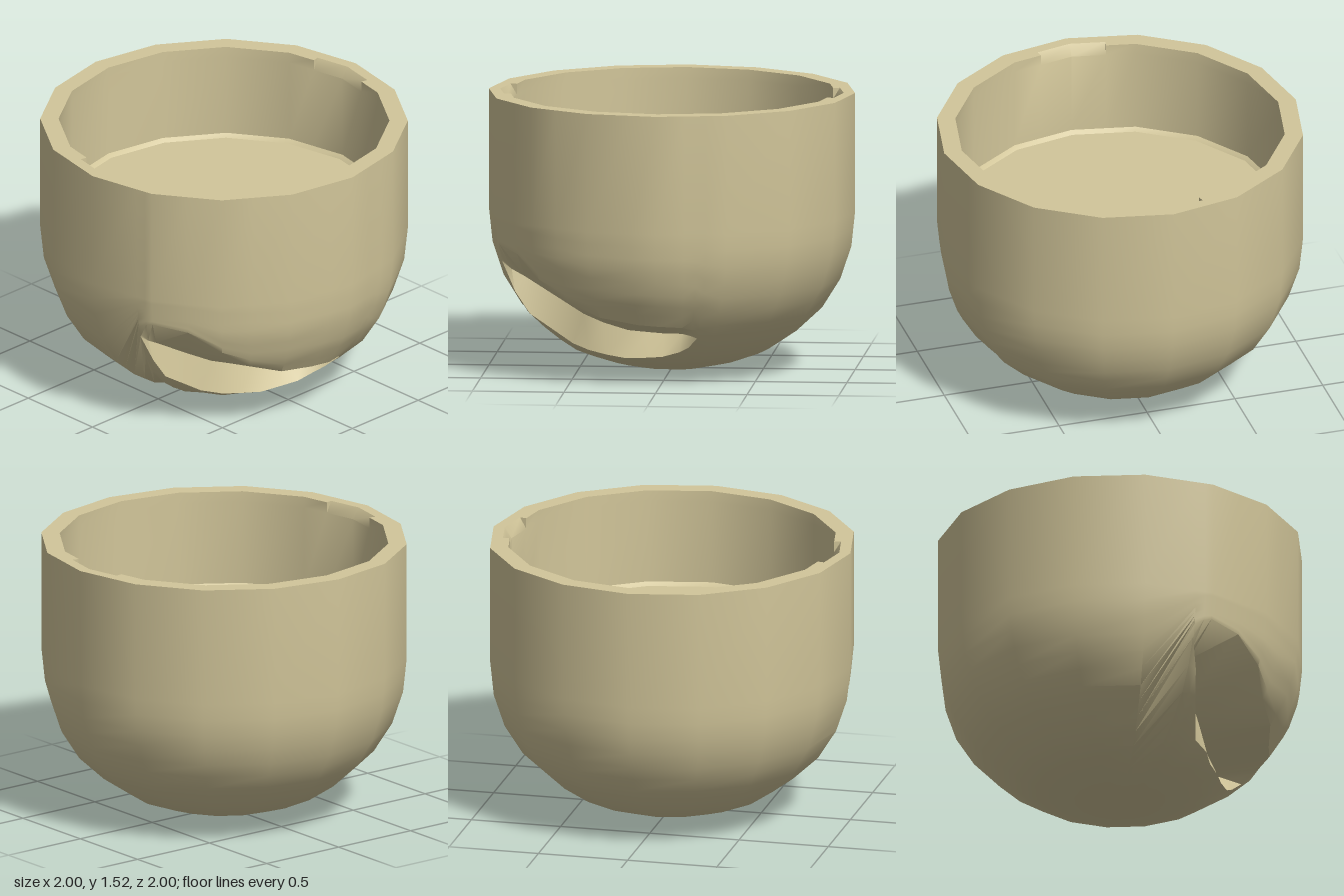
import * as THREE from 'three';
import { toCreasedNormals } from 'three/addons/utils/BufferGeometryUtils.js';

const RAD = Math.PI / 180, STEP = 22.5, TOP = 1.52;
const material = new THREE.MeshStandardMaterial({ color: 0xd2c69a });

// Point on a 16-sided ring; azimuth in degrees, 0 = front, 90 = +x
function ringPoint(az, r, y) {
  const local = ((az % STEP) + STEP) % STEP - STEP / 2;
  const k = r * Math.cos(STEP / 2 * RAD) / Math.cos(local * RAD);
  return new THREE.Vector3(k * Math.sin(az * RAD), y, k * Math.cos(az * RAD));
}

// Closed surface through columns of points that all have the same row count
function loft(name, columns) {
  const pos = [];
  const tri = (a, b, c) => {
    const area = b.clone().sub(a).cross(c.clone().sub(a)).length();
    if (area > 1e-7) for (const p of [a, b, c]) pos.push(p.x, p.y, p.z);
  };
  columns.forEach((col, i) => {
    const next = columns[(i + 1) % columns.length];
    for (let r = 0; r < col.length - 1; r++) {
      tri(col[r], next[r], next[r + 1]);
      tri(col[r], next[r + 1], col[r + 1]);
    }
  });
  const geo = new THREE.BufferGeometry();
  geo.setAttribute('position', new THREE.Float32BufferAttribute(pos, 3));
  const mesh = new THREE.Mesh(toCreasedNormals(geo, 38 * RAD), material);
  mesh.name = name;
  return mesh;
}

// Rounded underside profile: [radius, y] from the bottom up
const dome = [[0, 0], [0.18, 0.012], [0.36, 0.05], [0.53, 0.11], [0.68, 0.21],
  [0.82, 0.34], [0.92, 0.5], [0.98, 0.68], [1, 0.87]];

function domePoint(az, s) {
  const i = Math.min(Math.floor(s), dome.length - 2), t = s - i;
  return ringPoint(az, THREE.MathUtils.lerp(dome[i][0], dome[i + 1][0], t),
    THREE.MathUtils.lerp(dome[i][1], dome[i + 1][1], t));
}
function domeParam(y) {
  let i = 0;
  while (i < dome.length - 2 && dome[i + 1][1] < y) i++;
  return i + (y - dome[i][1]) / (dome[i + 1][1] - dome[i][1]);
}

// Curved groove: azimuth, upper edge y, lower edge y, deepest point
const groove = [
  [-73, 0.68, 0.61, [-0.9, 0.62, 0.28]],
  [-70, 0.71, 0.45, [-0.85, 0.57, 0.28]],
  [-67.5, 0.72, 0.33, [-0.78, 0.53, 0.27]],
  [-56, 0.69, 0.175, [-0.58, 0.41, 0.3]],
  [-45, 0.57, 0.15, [-0.45, 0.34, 0.36]],
  [-35, 0.45, 0.13, [-0.34, 0.3, 0.4]],
  [-22.5, 0.38, 0.12, [-0.2, 0.265, 0.44]],
  [-8, 0.345, 0.13, [-0.08, 0.258, 0.46]],
  [0, 0.34, 0.14, [0, 0.255, 0.48]],
  [9, 0.33, 0.17, [0.1, 0.26, 0.52]],
  [13, 0.315, 0.2, [0.16, 0.262, 0.62]],
  [16, 0.26, 0.26, null],
];

function outerShell() {
  const cuts = [...groove];
  for (let az = STEP; az <= 270; az += STEP) cuts.push([az, 0.21, 0.21, null]);
  const N = 8;
  return loft('outerShell', cuts.map(([az, yU, yL, deep]) => {
    const sU = domeParam(yU), sL = domeParam(yL), col = [];
    for (let k = 0; k <= N; k++) col.push(domePoint(az, sL * k / N));
    col.push(deep ? new THREE.Vector3(...deep) : domePoint(az, (sU + sL) / 2));
    for (let k = 0; k <= N; k++) col.push(domePoint(az, sU + (8 - sU) * k / N));
    col.push(ringPoint(az, 1, TOP));
    return col;
  }));
}

// Flat rim, inner wall and floor, with a small chamfered notch on each side
function innerCavity() {
  const wall = [[1, TOP], [0.9, TOP], [0.9, 1.46], [0.9, 1.0], [0.88, 0.98], [0, 0.98]];
  const notched = wall.map(([r, y], i) => [i === 1 ? 0.938 : r, y]);
  const half = 12.1, stops = [];
  for (let i = 0; i < 16; i++) {
    const az = i * STEP, side = az === 90 || az === 270;
    if (side) stops.push([az - half, wall], [az - half, notched]);
    stops.push([az, side ? notched : wall]);
    if (side) stops.push([az + half, notched], [az + half, wall]);
  }
  return loft('innerCavity', stops.map(([az, prof]) => prof.map(([r, y]) => ringPoint(az, r, y))));
}

export function createModel() {
  const group = new THREE.Group();
  group.name = 'bowl';
  group.add(outerShell(), innerCavity());
  return group;
}
